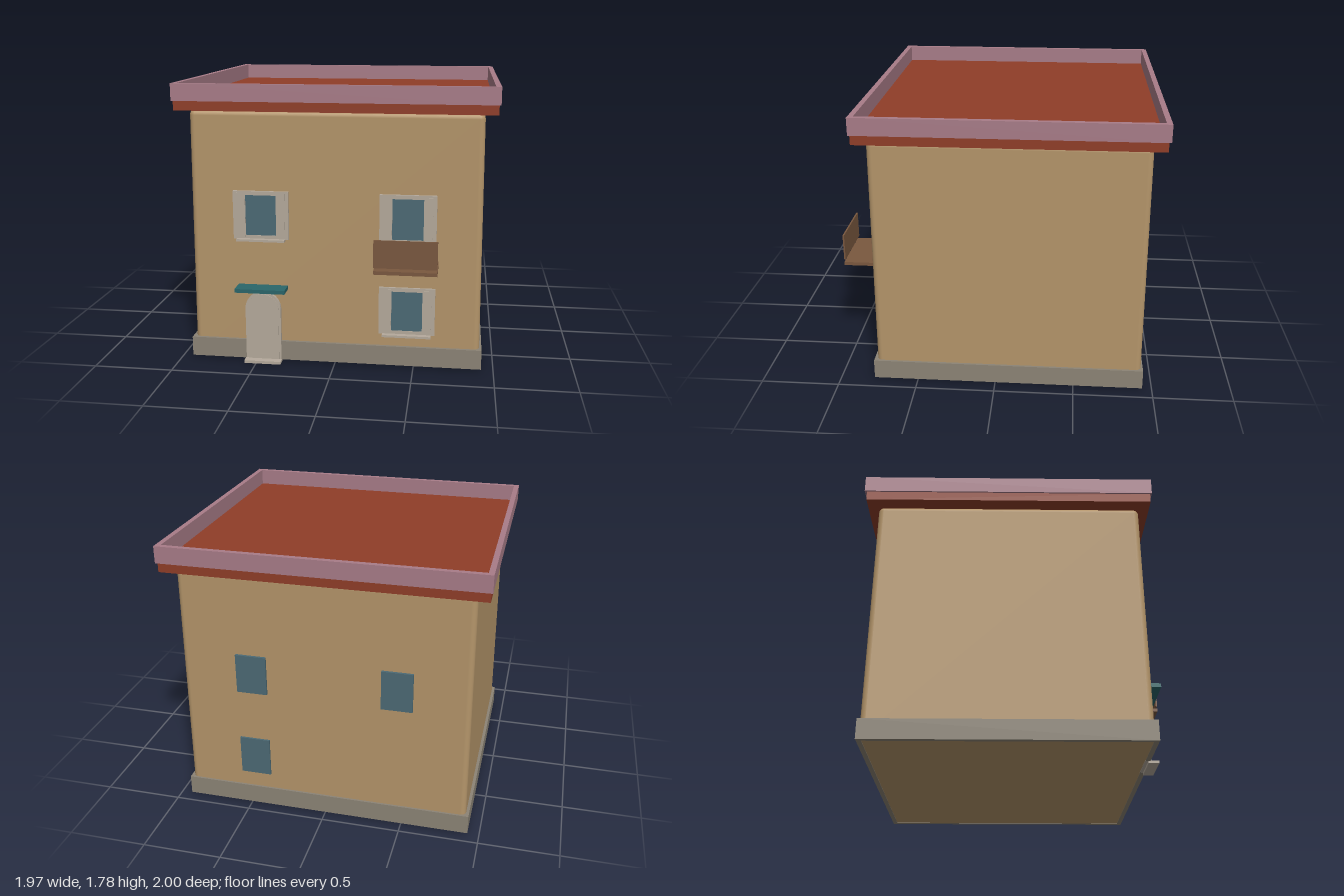
import * as THREE from 'three';
import { RoundedBoxGeometry } from 'three/addons/geometries/RoundedBoxGeometry.js';

const mat = (color) => new THREE.MeshStandardMaterial({ color });
const M = {
  wall: mat(0xb4956a), roof: mat(0x903e28), parapet: mat(0xa87c88), stone: mat(0x8c8476),
  frame: mat(0xb5aa9c), glass: mat(0x4c6a75), wood: mat(0x7a583f), awning: mat(0x2a666a),
};

function add(parent, name, geometry, material) {
  const mesh = new THREE.Mesh(geometry, material);
  mesh.name = name;
  parent.add(mesh);
  return mesh;
}

// Box given by its limits on x, y and z
function box(parent, name, material, x0, x1, y0, y1, z0, z1) {
  const g = new THREE.BoxGeometry(x1 - x0, y1 - y0, z1 - z0);
  g.translate((x0 + x1) / 2, (y0 + y1) / 2, (z0 + z1) / 2);
  return add(parent, name, g, material);
}

function rect(target, x0, x1, y0, y1) {
  target.moveTo(x0, y0);
  target.lineTo(x1, y0);
  target.lineTo(x1, y1);
  target.lineTo(x0, y1);
  target.closePath();
  return target;
}

// Horizontal rectangular ring, limits on x, y and z, with wall thickness t
function ring(parent, name, material, x0, x1, y0, y1, z0, z1, t) {
  const s = rect(new THREE.Shape(), x0, x1, -z1, -z0);
  s.holes.push(rect(new THREE.Path(), x0 + t, x1 - t, -z1 + t, -z0 - t));
  const g = new THREE.ExtrudeGeometry(s, { depth: y1 - y0, bevelEnabled: false });
  g.rotateX(-Math.PI / 2).translate(0, y0, 0);
  return add(parent, name, g, material);
}

// Front window: surround, jambs, recessed pane and sill; cx is its centre, y its lower edge
function frontWindow(parent, cx, y) {
  const w = new THREE.Group();
  w.name = 'frontWindow';
  const s = rect(new THREE.Shape(), -0.175, 0.175, 0, 0.305);
  s.holes.push(rect(new THREE.Path(), -0.096, 0.096, 0.025, 0.28));
  add(w, 'windowSurround', new THREE.ExtrudeGeometry(s, { depth: 0.03, bevelEnabled: false }), M.frame);
  box(w, 'windowPane', M.glass, -0.1, 0.1, 0.02, 0.285, 0, 0.027);
  for (const side of [-1, 1]) {
    const x = side * 0.125;
    box(w, 'windowJamb', M.frame, x - 0.027, x + 0.027, 0.012, 0.293, 0.02, 0.034);
  }
  box(w, 'windowSill', M.frame, -0.152, 0.152, -0.01, 0.004, 0, 0.062);
  w.position.set(cx, y, 0.742);
  parent.add(w);
}

// Flat arched panel standing on y0
function archPanel(parent, name, material, cx, halfWidth, y0, top, z0, z1) {
  const s = new THREE.Shape();
  s.moveTo(cx - halfWidth, y0);
  s.lineTo(cx + halfWidth, y0);
  s.absarc(cx, top - halfWidth, halfWidth, 0, Math.PI, false);
  s.closePath();
  const g = new THREE.ExtrudeGeometry(s, { depth: z1 - z0, bevelEnabled: false, curveSegments: 16 });
  g.translate(0, 0, z0);
  return add(parent, name, g, material);
}

export function createModel() {
  const house = new THREE.Group();
  house.name = 'house';

  // Body: rounded block that narrows slightly upward
  const body = new RoundedBoxGeometry(1.82, 1.592, 1.685, 4, 0.035);
  const p = body.attributes.position;
  for (let i = 0; i < p.count; i++) {
    const k = 1 - 0.009 * (p.getY(i) / 1.592 + 0.5);
    p.setX(i, p.getX(i) * k);
    p.setZ(i, p.getZ(i) * k);
  }
  body.translate(0, 0.816, -0.083);
  add(house, 'walls', body, M.wall);

  // Plinth and underside
  ring(house, 'plinth', M.stone, -0.928, 0.924, 0.015, 0.14, -0.938, 0.778, 0.03);
  box(house, 'floor', M.wall, -0.9, 0.896, 0.018, 0.06, -0.91, 0.75);

  // Flat roof with raised border
  box(house, 'roofSlab', M.roof, -0.976, 0.976, 1.611, 1.672, -0.987, 0.82);
  ring(house, 'parapet', M.parapet, -0.986, 0.986, 1.67, 1.776, -1, 0.83, 0.033);

  // Windows on the front, matching plain panes on the back
  for (const [cx, y] of [[-0.46, 0.808], [0.455, 0.808], [0.455, 0.22]]) {
    frontWindow(house, cx, y);
    box(house, 'backWindow', M.glass, cx - 0.097, cx + 0.097, y + 0.025, y + 0.28, -0.936, -0.92);
  }

  // Arched door with surround, step and canopy
  archPanel(house, 'doorSurround', M.frame, -0.457, 0.114, 0.015, 0.465, 0.745, 0.78);
  archPanel(house, 'door', M.frame, -0.457, 0.1, 0.015, 0.45, 0.745, 0.785);
  box(house, 'doorStep', M.frame, -0.575, -0.34, 0, 0.018, 0.765, 0.83);
  box(house, 'doorCanopy', M.awning, -0.615, -0.298, 0.483, 0.507, 0.755, 0.868);

  // Balcony
  box(house, 'balconyFloor', M.wood, 0.267, 0.646, 0.678, 0.7, 0.755, 1);
  box(house, 'balconyRail', M.wood, 0.267, 0.646, 0.718, 0.888, 0.99, 1);

  return house;
}
